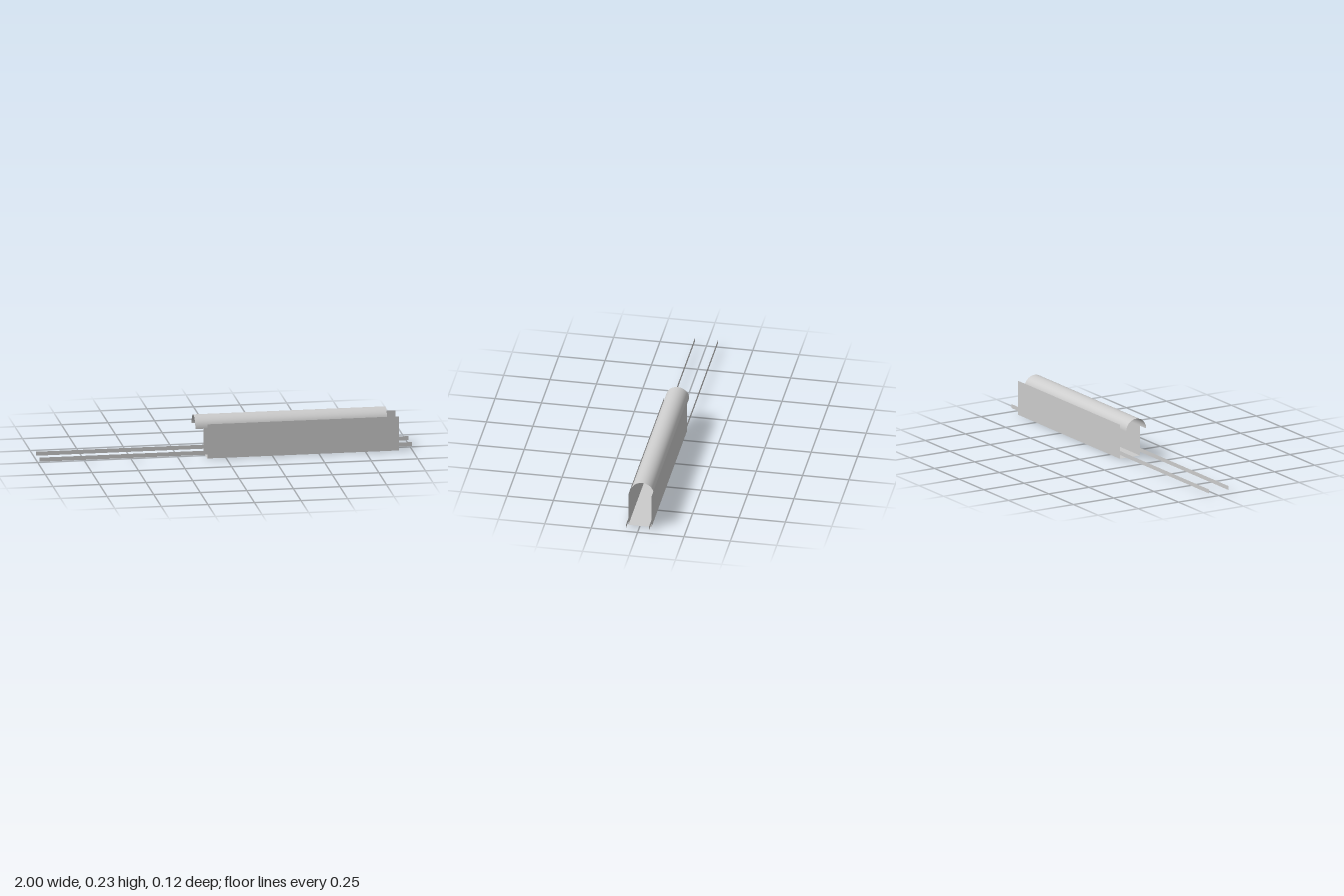
import * as THREE from 'three';

const HALF_WIDTH = 0.0625;

export function createModel() {
  const group = new THREE.Group();
  const material = new THREE.MeshStandardMaterial({ color: 0xcccccc, side: THREE.DoubleSide });

  const add = (name, geometry, x, y, z) => {
    const mesh = new THREE.Mesh(geometry, material);
    mesh.name = name;
    mesh.position.set(x, y, z);
    group.add(mesh);
  };

  // Open channel: thin floor and two side walls
  const length = 1.03, wallHeight = 0.187, channelX = 0.415;
  add('channelFloor', new THREE.PlaneGeometry(length, HALF_WIDTH * 2).rotateX(-Math.PI / 2), channelX, 0, 0);

  for (const [side, s] of [['front', 1], ['back', -1]]) {
    const turn = s > 0 ? 0 : Math.PI;
    add(side + 'Wall', new THREE.PlaneGeometry(length, wallHeight).rotateY(turn),
      channelX, wallHeight / 2, s * HALF_WIDTH);
    // Long thin rail running just inside the wall
    add(side + 'Rail', new THREE.PlaneGeometry(2, 0.022).rotateY(turn),
      0, 0.032, s * (HALF_WIDTH - 0.0005));
  }

  // Half-round cover, slid a little past the channel's end
  const cover = new THREE.CylinderGeometry(HALF_WIDTH - 0.0003, HALF_WIDTH - 0.0003, 1.03, 32, 1, true, 0, Math.PI);
  add('roundedCover', cover.rotateZ(Math.PI / 2), 0.351, 0.164, 0);

  return group;
}
